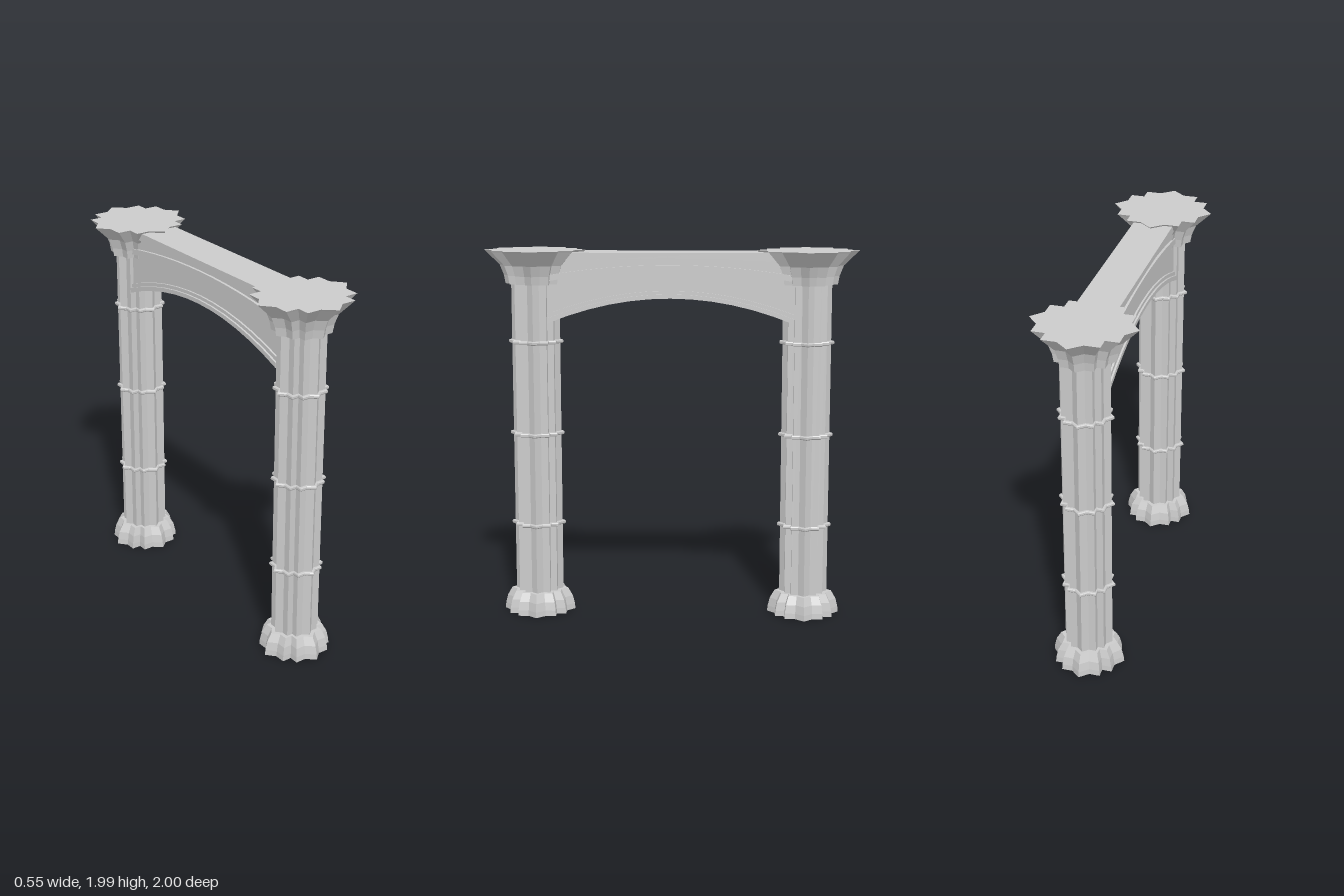
import * as THREE from 'three';

const material = new THREE.MeshStandardMaterial({ color: 0xcccccc, flatShading: true });

// Twelve-pointed pillar outline, as one quarter turned four times (tip radius 1)
const quarter = [[1, 0], [0.79, 0.24], [0.79, 0.53], [0.53, 0.53], [0.53, 0.79], [0.24, 0.79]];
const outline = [];
for (let q = 0; q < 4; q++) {
  for (const [x, z] of quarter) {
    const c = [1, 0, -1, 0][q], s = [0, 1, 0, -1][q];
    outline.push([x * c - z * s, x * s + z * c]);
  }
}

// Closed loft of the outline through levels of [height, tip radius]
function loft(name, levels) {
  const pos = [];
  const n = outline.length;
  const point = (k, i) => {
    const [y, r] = levels[k];
    const [x, z] = outline[i % n];
    return [x * r, y, z * r];
  };
  const last = levels.length - 1;
  for (let i = 0; i < n; i++) {
    for (let k = 0; k < last; k++) {
      const a = point(k, i), b = point(k, i + 1), c = point(k + 1, i), d = point(k + 1, i + 1);
      pos.push(...a, ...c, ...b, ...b, ...c, ...d);
    }
    pos.push(0, levels[0][0], 0, ...point(0, i), ...point(0, i + 1));
    pos.push(0, levels[last][0], 0, ...point(last, i + 1), ...point(last, i));
  }
  const geometry = new THREE.BufferGeometry();
  geometry.setAttribute('position', new THREE.Float32BufferAttribute(pos, 3));
  geometry.computeVertexNormals();
  const mesh = new THREE.Mesh(geometry, material);
  mesh.name = name;
  return mesh;
}

function createPillar(name) {
  const pillar = new THREE.Group();
  pillar.name = name;
  pillar.add(loft('base', [[0, 0.195], [0.03, 0.192], [0.075, 0.181], [0.12, 0.155]]));
  pillar.add(loft('shaft', [[0.1, 0.13], [1.83, 0.13]]));
  for (const y of [0.495, 0.995, 1.495]) {
    pillar.add(loft('ring', [[y - 0.01, 0.142], [y - 0.005, 0.147], [y + 0.005, 0.147], [y + 0.01, 0.142]]));
  }
  pillar.add(loft('capital', [[1.805, 0.16], [1.85, 0.168], [1.905, 0.19], [1.975, 0.262], [1.985, 0.273]]));
  return pillar;
}

// Beam along z between two edges, each [height at the middle, drop at the ends]
function beam(name, lower, upper, halfWidth) {
  const halfSpan = 0.655, steps = 12;
  const edge = ([peak, drop]) => Array.from({ length: steps + 1 }, (_, i) => {
    const t = (2 * i) / steps - 1;
    return new THREE.Vector2(t * halfSpan, peak - drop * t * t);
  });
  const shape = new THREE.Shape([...edge(lower), ...edge(upper).reverse()]);
  const geometry = new THREE.ExtrudeGeometry(shape, { depth: 2 * halfWidth, bevelEnabled: false });
  geometry.translate(0, 0, -halfWidth);
  geometry.rotateY(Math.PI / 2);
  const mesh = new THREE.Mesh(geometry, material);
  mesh.name = name;
  return mesh;
}

export function createModel() {
  const model = new THREE.Group();
  model.name = 'archway';

  // Two matching pillars
  for (const side of [1, -1]) {
    const pillar = createPillar(side > 0 ? 'frontPillar' : 'backPillar');
    pillar.position.z = side * 0.727;
    model.add(pillar);
  }

  // Arch: recessed wall with moulded ribs and a flat top slab
  const arch = new THREE.Group();
  arch.name = 'arch';
  arch.add(beam('archWall', [1.745, 0.135], [1.96, 0], 0.084));
  arch.add(beam('archRib', [1.735, 0.135], [1.757, 0.13], 0.104));
  arch.add(beam('archRibStep', [1.75, 0.13], [1.775, 0.125], 0.094));
  arch.add(beam('upperMoulding', [1.883, 0.06], [1.91, 0.055], 0.098));
  arch.add(beam('topSlab', [1.945, 0.02], [1.975, 0], 0.108));
  model.add(arch);
  return model;
}
